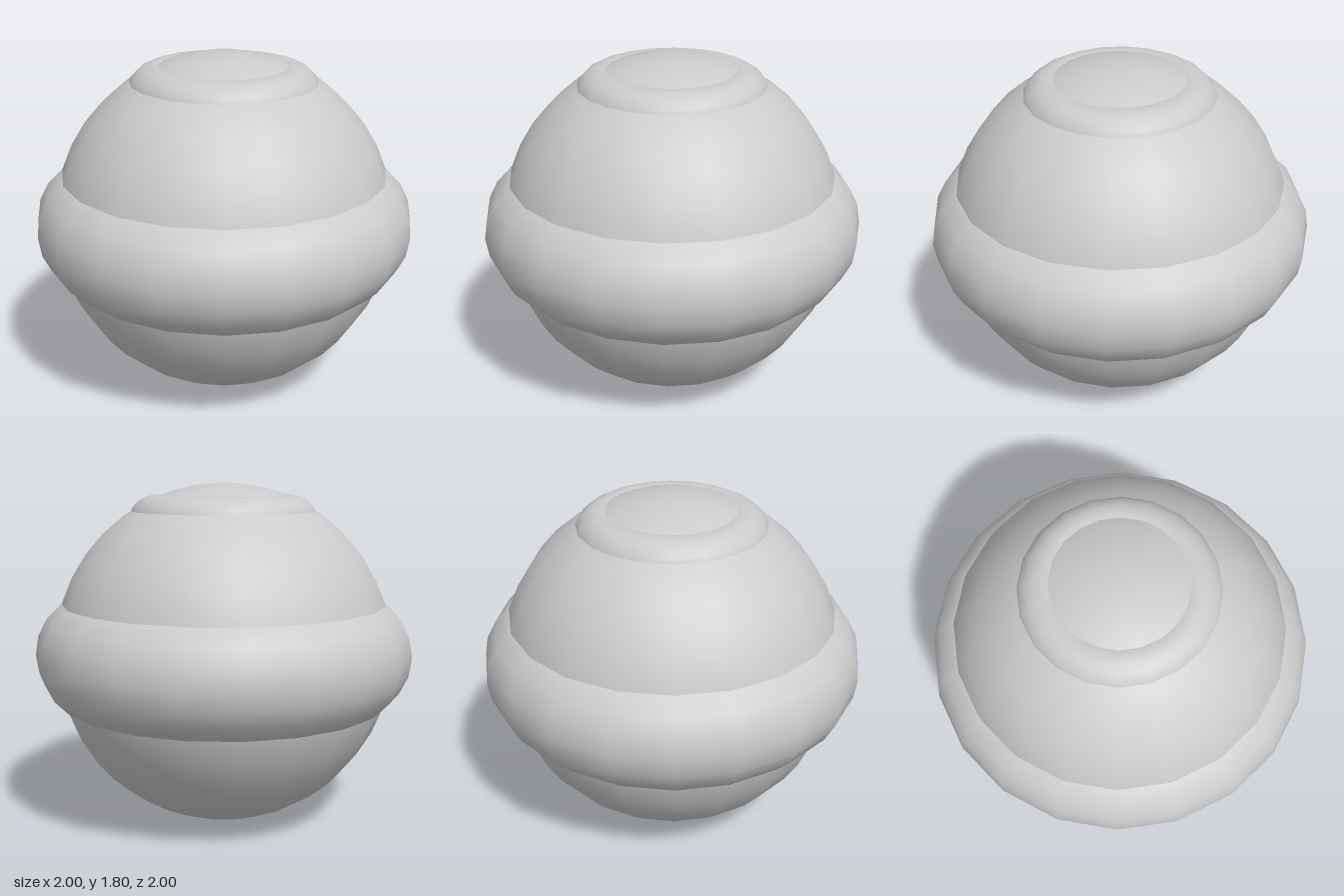
import * as THREE from 'three';

const SIDES = 20;
const CENTRE_Y = 0.905;

export function createModel() {
  const model = new THREE.Group();
  const material = new THREE.MeshStandardMaterial({ color: 0xcccccc });

  const add = (name, geometry, y) => {
    const mesh = new THREE.Mesh(geometry, material);
    mesh.name = name;
    mesh.position.y = y;
    model.add(mesh);
  };

  // Torus lying flat
  const ring = (radius, tube) =>
    new THREE.TorusGeometry(radius, tube, SIDES, SIDES).rotateX(Math.PI / 2);

  // Round body
  add('body', new THREE.SphereGeometry(0.898, SIDES, SIDES), CENTRE_Y);

  // Thick band around the middle
  add('equatorRing', ring(0.675, 0.325), CENTRE_Y);

  // Small raised ring near the top
  add('topRing', ring(0.36, 0.142), 1.597);

  return model;
}
